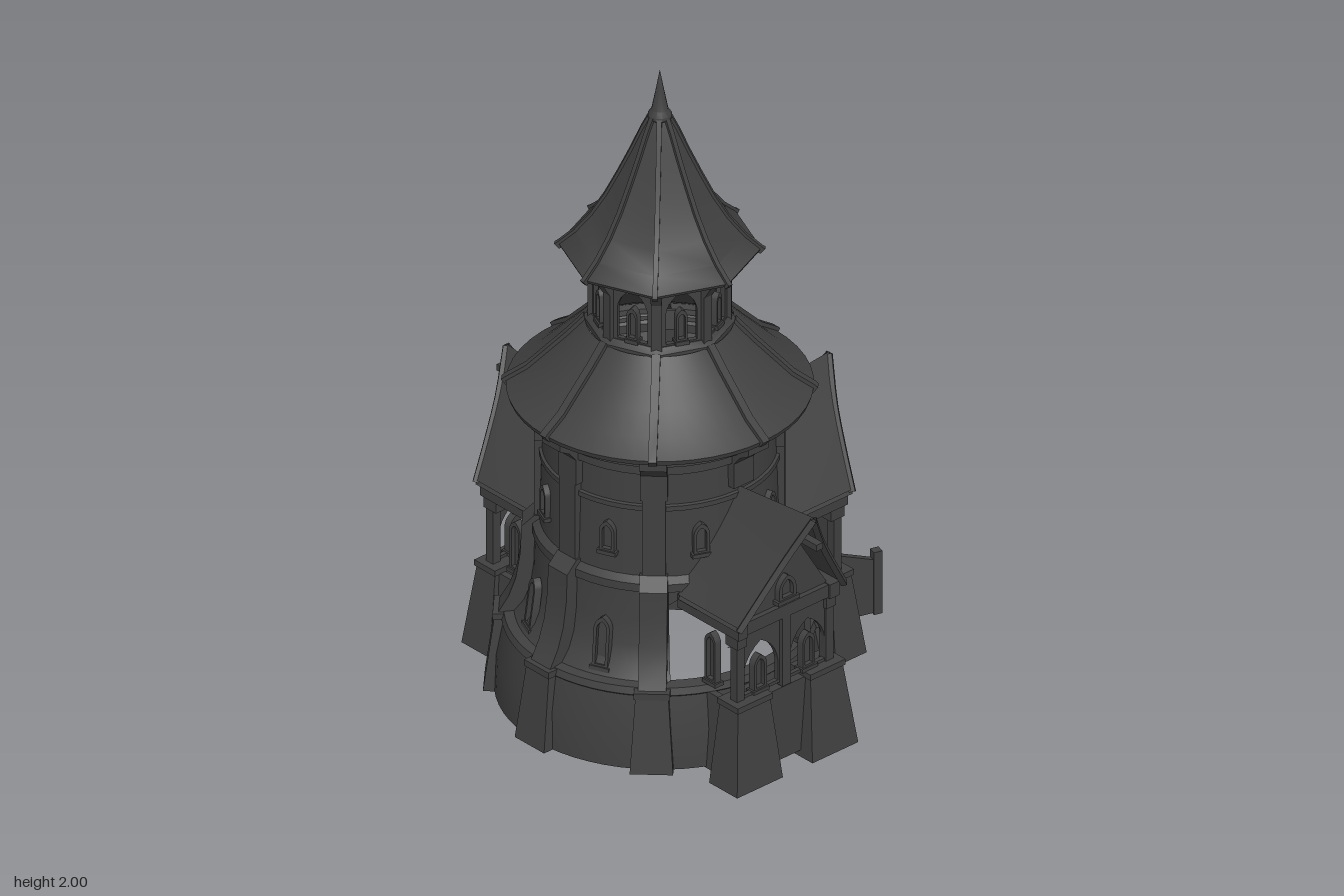
import * as THREE from 'three';
import { toCreasedNormals } from 'three/addons/utils/BufferGeometryUtils.js';

const stone = new THREE.MeshStandardMaterial({ color: 0x404040, side: THREE.DoubleSide });
stone.name = 'dark stone';
const V = (a) => a.map(([x, y]) => new THREE.Vector2(x, y));
const D = Math.PI / 180;

function add(parent, name, geo, x = 0, y = 0, z = 0) {
  const m = new THREE.Mesh(toCreasedNormals(geo, 0.6), stone);
  m.name = name;
  m.position.set(x, y, z);
  parent.add(m);
  return m;
}
const box = (p, n, w, h, d, x, y, z) => add(p, n, new THREE.BoxGeometry(w, h, d), x, y, z);
const lathe = (p, n, pts, seg = 48, start = 0, len = Math.PI * 2) =>
  add(p, n, new THREE.LatheGeometry(V(pts), seg, start, len));

// group turned about the tower axis, its local +z pointing outward
function spoke(parent, name, deg) {
  const g = new THREE.Group();
  g.name = name;
  g.rotation.y = deg * D;
  parent.add(g);
  return g;
}

// outline in (radius, height), thickened sideways
function slab(p, n, pts, w) {
  const geo = new THREE.ExtrudeGeometry(new THREE.Shape(V(pts)), { depth: w, bevelEnabled: false });
  geo.translate(0, 0, -w / 2).rotateY(-Math.PI / 2);
  return add(p, n, geo);
}

// rib that follows a roof profile
function rib(p, n, prof, w, lift) {
  const top = prof.map(([r, y]) => [r + lift * 0.5, y + lift]);
  const low = prof.map(([r, y]) => [r - 0.01, y - 0.01]).reverse();
  return slab(p, n, [...top, ...low], w);
}

// pointed arch outline, hw = half width
function arch(path, x, y0, y1, hw) {
  const spring = y1 - hw * 1.4;
  path.moveTo(x - hw, y0);
  path.lineTo(x + hw, y0);
  path.lineTo(x + hw, spring);
  path.quadraticCurveTo(x + hw * 0.9, spring + hw * 0.9, x, y1);
  path.quadraticCurveTo(x - hw * 0.9, spring + hw * 0.9, x - hw, spring);
  path.closePath();
  return path;
}
const extrude = (s, depth) => new THREE.ExtrudeGeometry(s, { depth, bevelEnabled: false, curveSegments: 5 });

function archWindow(p, x, y0, y1, hw, z, tilt = 0) {
  const g = new THREE.Group();
  g.name = 'window';
  g.position.set(x, y0, z);
  g.rotation.x = tilt;
  p.add(g);
  const frame = arch(new THREE.Shape(), 0, 0, y1 - y0, hw);
  frame.holes.push(arch(new THREE.Path(), 0, 0.012, y1 - y0 - 0.014, hw * 0.62));
  add(g, 'windowFrame', extrude(frame, 0.022));
  add(g, 'windowPane', extrude(arch(new THREE.Shape(), 0, 0.01, y1 - y0 - 0.012, hw * 0.7), 0.008));
  box(g, 'windowSill', hw * 2.5, 0.012, 0.032, 0, 0, 0.011);
}

// block whose top is smaller than its foot: [x0, x1, z0, z1] for foot and top
function taperBlock(p, n, foot, top, y0, y1) {
  const geo = new THREE.BoxGeometry(1, 1, 1), a = geo.attributes.position;
  for (let i = 0; i < a.count; i++) {
    const up = a.getY(i) > 0, q = up ? top : foot;
    a.setXYZ(i, q[a.getX(i) > 0 ? 1 : 0], up ? y1 : y0, q[a.getZ(i) > 0 ? 3 : 2]);
  }
  return add(p, n, geo);
}

// porch roof slope, t runs from ridge to eave
function roofPoint(s, t, u, lift = 0) {
  const ridge = 0.805 + 0.035 * u;
  const outer = 0.63 - 0.09 * Math.pow(t, 0.75);
  return [s * 0.195 * t, ridge - (ridge - 0.52) * Math.pow(t, 0.93) + lift, 0.29 + (outer - 0.29) * u];
}
function roofSlope(p, s, lift) {
  const geo = new THREE.PlaneGeometry(1, 1, 4, 6), a = geo.attributes.position;
  for (let i = 0; i < a.count; i++) a.setXYZ(i, ...roofPoint(s, 0.5 - a.getY(i), a.getX(i) + 0.5, lift));
  add(p, 'porchRoof', geo);
}

function porch(parent, deg, isEntrance) {
  const g = spoke(parent, isEntrance ? 'entrancePorch' : 'sidePorch', deg);
  for (const s of [-1, 1]) {
    taperBlock(g, 'cornerFooting', s > 0 ? [0.055, 0.225, 0.45, 0.565] : [-0.225, -0.055, 0.45, 0.565],
      s > 0 ? [0.075, 0.195, 0.46, 0.535] : [-0.195, -0.075, 0.46, 0.535], 0, 0.25);
    box(g, 'footingCap', 0.13, 0.018, 0.085, s * 0.135, 0.257, 0.498);
    taperBlock(g, 'plinthSide', s > 0 ? [0.17, 0.2, 0.38, 0.46] : [-0.2, -0.17, 0.38, 0.46],
      s > 0 ? [0.16, 0.18, 0.36, 0.47] : [-0.18, -0.16, 0.36, 0.47], 0.02, 0.25);
    box(g, 'post', 0.028, 0.21, 0.028, s * 0.165, 0.365, 0.5);
    box(g, 'postBracket', 0.036, 0.035, 0.05, s * 0.165, 0.455, 0.495);
    box(g, 'eaveBeam', 0.035, 0.045, 0.25, s * 0.17, 0.495, 0.405);
    if (!isEntrance) archWindow(g, s * 0.09, 0.27, 0.385, 0.023, 0.49);
    if (!isEntrance) {
      const side = spoke(g, 'sideWindow', s * 90);
      side.position.z = 0.4;
      archWindow(side, 0, 0.28, 0.44, 0.022, 0.155);
    }
    roofSlope(g, s, 0);
    roofSlope(g, s, -0.014);
    // barge board along the gable edge
    const pts = [0, 0.33, 0.66, 1].map((t) => new THREE.Vector3(...roofPoint(s, t, 1, -0.008)));
    add(g, 'bargeBoard', new THREE.TubeGeometry(new THREE.CatmullRomCurve3(pts), 8, 0.012, 4));
  }
  box(g, 'plinthEnd', 0.16, 0.23, 0.03, 0, 0.135, 0.5);
  box(g, 'endBeam', 0.36, 0.04, 0.035, 0, 0.495, 0.505);
  // gable infill, open at the very top
  const gable = new THREE.Shape(V([[-0.17, 0.5], [0.17, 0.5], [0.06, 0.68], [0, 0.735], [-0.06, 0.68]]));
  if (isEntrance) gable.holes.push(arch(new THREE.Path(), 0, 0.53, 0.64, 0.04));
  add(g, 'gable', extrude(gable, 0.012), 0, 0, 0.495);
  archWindow(g, 0, 0.53, 0.61, 0.032, 0.503);
  // arcade under the end beam
  const arcade = new THREE.Shape(V([[-0.17, 0.265], [0.17, 0.265], [0.17, 0.49], [-0.17, 0.49]]));
  if (isEntrance) arcade.holes.push(arch(new THREE.Path(), 0, 0.27, 0.46, 0.13));
  else for (const s of [-1, 1]) arcade.holes.push(arch(new THREE.Path(), s * 0.087, 0.275, 0.43, 0.064));
  add(g, 'arcade', extrude(arcade, 0.014), 0, 0, 0.495);
  if (!isEntrance) {
    box(g, 'centrePost', 0.032, 0.24, 0.03, 0, 0.375, 0.505);
    box(g, 'ridgeBeam', 0.024, 0.02, 0.345, 0, 0.757, 0.4825);
  } else {
    // fan-shaped steps with side walls
    for (let i = 0; i < 5; i++) {
      const r = 0.33 + i * 0.0325, h = 0.19 - i * 0.032;
      const geo = new THREE.CylinderGeometry(r, r, h, 10, 1, false, -16 * D, 32 * D);
      add(g, 'step', geo, 0, 0.04 + h / 2, 0.25);
    }
    for (const s of [-1, 1]) {
      const rail = spoke(g, 'stairSide', s * 16);
      rail.position.z = 0.25;
      slab(rail, 'stairWall', [[0.25, 0.04], [0.46, 0.04], [0.46, 0.205], [0.25, 0.285]], 0.018);
      box(rail, 'newelPost', 0.026, 0.2, 0.026, 0, 0.135, 0.458);
    }
  }
}

export function createModel() {
  const model = new THREE.Group();
  model.name = 'tower';
  const t = new THREE.Group();
  t.name = 'towerBody';
  t.position.z = 0.112;
  model.add(t);

  // plinth and flared lower wall, open behind
  lathe(t, 'plinth', [[0.457, 0.025], [0.452, 0.14], [0.432, 0.245], [0.437, 0.25], [0.43, 0.27], [0.395, 0.275]], 64);
  lathe(t, 'lowerWall', [[0.405, 0.27], [0.375, 0.31], [0.357, 0.36], [0.348, 0.43], [0.345, 0.54]], 24, -52 * D, 104 * D);

  // upper wall, cut away where the porch roofs join
  const wall = new THREE.CylinderGeometry(1, 1, 1, 96, 5, true), a = wall.attributes.position;
  for (let i = 0; i < a.count; i++) {
    const phi = Math.atan2(a.getX(i), a.getZ(i)), v = a.getY(i) + 0.5;
    const d = Math.min(Math.abs(Math.abs(phi) - Math.PI / 2), Math.PI - Math.abs(phi));
    const low = d < 41 * D ? Math.max(0.48, 0.8 - 0.55 * Math.sin(d)) : 0.48;
    const y = low + (0.91 - low) * v, r = 0.335 - 0.03 * (y - 0.48);
    a.setXYZ(i, r * Math.sin(phi), y, r * Math.cos(phi));
  }
  wall.computeVertexNormals();
  add(t, 'upperWall', wall);
  lathe(t, 'middleBand', [[0.33, 0.52], [0.352, 0.53], [0.352, 0.555], [0.328, 0.575]]);
  lathe(t, 'upperBand', [[0.32, 0.775], [0.334, 0.78], [0.334, 0.795], [0.32, 0.8]]);
  lathe(t, 'cornice', [[0.32, 0.89], [0.34, 0.9], [0.34, 0.925], [0.365, 0.94], [0.365, 0.965], [0.385, 0.985]]);

  // main roof
  const roof = [[0.425, 0.995], [0.365, 1.035], [0.31, 1.09], [0.255, 1.145], [0.205, 1.2]];
  lathe(t, 'mainRoof', [[0.36, 0.98], [0.42, 0.98], ...roof]);

  // lantern rings and octagonal top roof
  lathe(t, 'lanternBase', [[0.2, 1.18], [0.212, 1.19], [0.212, 1.205], [0.195, 1.22], [0.17, 1.22]], 8);
  lathe(t, 'lanternCrown', [[0.165, 1.385], [0.2, 1.385], [0.205, 1.4], [0.225, 1.405], [0.225, 1.425], [0.24, 1.435]], 8);
  const cap = [[0.28, 1.435], [0.235, 1.475], [0.19, 1.53], [0.15, 1.595], [0.115, 1.665], [0.08, 1.74], [0.05, 1.81], [0.025, 1.86]];
  lathe(t, 'topRoof', [[0.2, 1.425], [0.275, 1.425], ...cap], 8);
  lathe(t, 'spire', [[0.02, 1.835], [0.034, 1.85], [0.034, 1.86], [0.024, 1.875], [0.012, 1.935], [0, 2]], 12);

  for (let k = 0; k < 8; k++) {
    const deg = k * 45, g = spoke(t, 'bay', deg);
    const overPorch = deg === 90 || deg === 180 || deg === 270;
    rib(g, 'mainRoofRib', [[0.432, 0.988], ...roof], 0.024, 0.01);
    rib(g, 'topRoofRib', [[0.288, 1.43], ...cap], 0.014, 0.006);
    box(g, 'lanternPost', 0.03, 0.19, 0.03, 0, 1.305, 0.183);
    slab(g, 'lanternBracket', [[0.19, 1.36], [0.2, 1.36], [0.225, 1.4], [0.19, 1.4]], 0.03);
    slab(g, 'cornicePier', [[0.3, 0.82], [0.345, 0.82], [0.345, 0.9], [0.37, 0.93], [0.405, 0.95], [0.405, 0.985], [0.3, 0.985]], 0.075);
    if (!overPorch) {
      // stepped buttress
      taperBlock(g, 'buttressFoot', [-0.06, 0.06, 0.4, 0.485], [-0.046, 0.046, 0.4, 0.455], 0.025, 0.25);
      box(g, 'buttressCap', 0.1, 0.02, 0.07, 0, 0.258, 0.424);
      slab(g, 'buttressFlare', [[0.39, 0.26], [0.445, 0.265], [0.415, 0.32], [0.395, 0.38], [0.383, 0.46], [0.38, 0.545], [0.345, 0.58],
        [0.31, 0.58], [0.315, 0.45], [0.33, 0.36], [0.36, 0.3]], 0.078);
      slab(g, 'buttressPier', [[0.31, 0.57], [0.345, 0.57], [0.345, 0.83], [0.31, 0.83]], 0.066);
    }

    // pointed lantern arches between the posts
    const h = spoke(t, 'lanternBay', deg + 22.5);
    const panel = new THREE.Shape(V([[-0.066, 1.215], [0.066, 1.215], [0.066, 1.395], [-0.066, 1.395]]));
    panel.holes.push(arch(new THREE.Path(), 0, 1.225, 1.385, 0.046));
    add(h, 'lanternArch', extrude(panel, 0.014), 0, 0, 0.163);
    archWindow(h, 0, 1.225, 1.33, 0.016, 0.16);

    // tower windows
    if (k === 0 || k === 7) archWindow(h, 0, 0.285, 0.44, 0.024, 0.368, -0.12);
    archWindow(h, 0, 0.635, 0.735, 0.023, 0.322);
  }

  porch(t, 90, false);
  porch(t, -90, false);
  porch(t, 180, true);
  return model;
}
